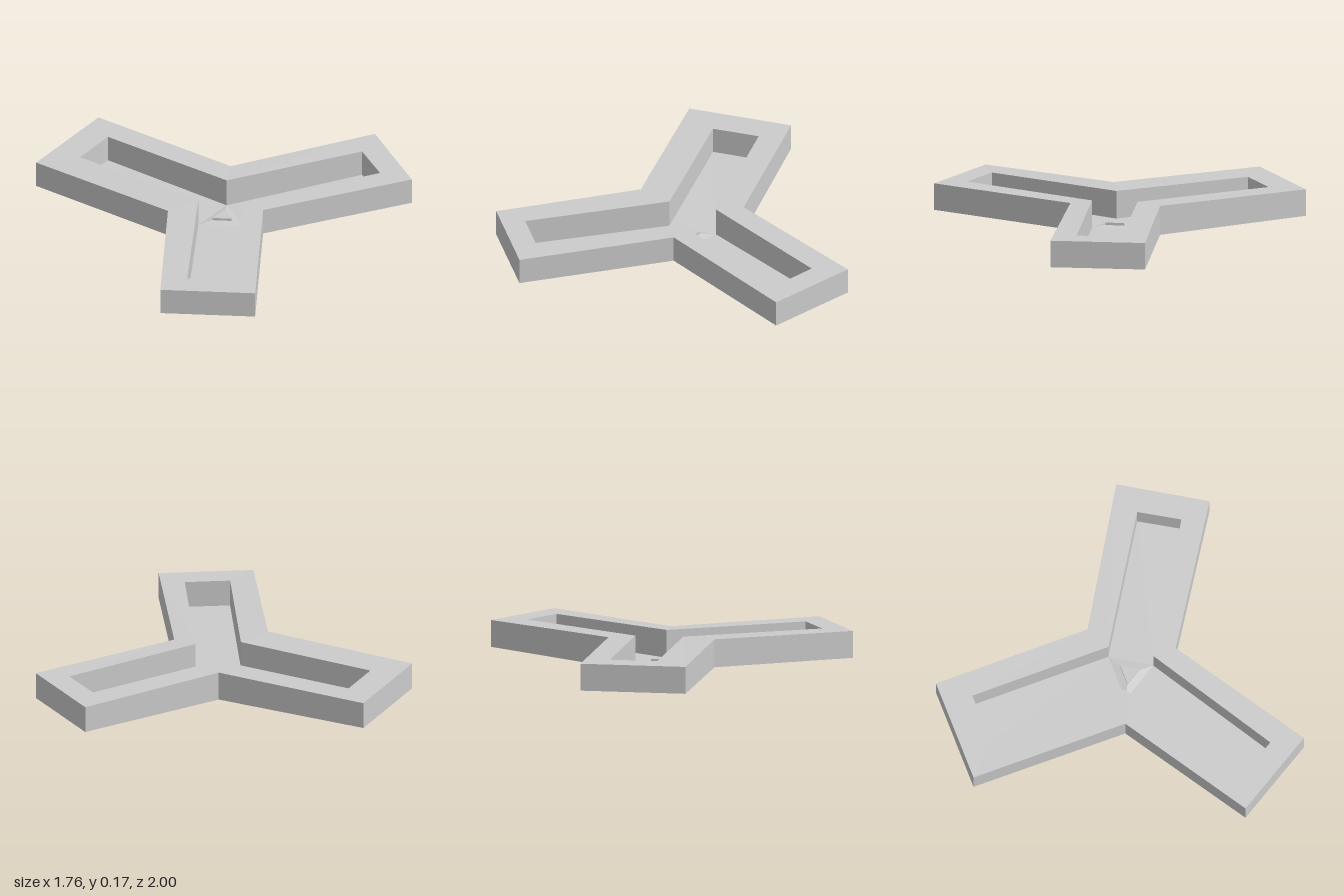
import * as THREE from 'three';

const BASE = 0.013, HEIGHT = 0.148;

// plan outlines as [x, z]
const outer = [[-0.88, -0.265], [0, -0.27], [0.44, -1], [0.88, -0.73], [0.41, 0],
  [0.88, 0.73], [0.44, 1], [0, 0.315], [-0.88, 0.315]];
const inner = [[-0.72, -0.13], [0.07, -0.135], [0.49, -0.81], [0.7, -0.685], [0.28, 0],
  [0.7, 0.69], [0.49, 0.82], [0.07, 0.13], [-0.72, 0.13]];
const peg = [[0.11, -0.055], [0.11, 0.055], [0.2, 0]];

const planPoints = (pts) => pts.map(([x, z]) => new THREE.Vector2(x, -z));
const atHeight = (pts, y) => pts.map(([x, z]) => [x, y, z]);

// slight sag of the underside and lift of the rim near two of the elbows
function warp(geometry) {
  const p = geometry.attributes.position;
  for (let i = 0; i < p.count; i++) {
    const x = p.getX(i), y = p.getY(i), z = p.getZ(i);
    const near = (cz, r) => Math.max(0, 1 - Math.hypot(x, z - cz) / r);
    p.setY(i, y < 0.08 ? y - 0.013 * near(-0.27, 0.5) : y + 0.006 * near(0.315, 0.6));
  }
  geometry.computeVertexNormals();
  return geometry;
}

// band of faces between two triangles, with an optional lid on the upper one
function triangleBand(low, high, lid) {
  const corners = lid ? high.flat() : [];
  for (let i = 0; i < 3; i++) {
    const j = (i + 1) % 3;
    corners.push(...low[i], ...low[j], ...high[j], ...low[i], ...high[j], ...high[i]);
  }
  const band = new THREE.BufferGeometry();
  band.setAttribute('position', new THREE.Float32BufferAttribute(corners, 3));
  return warp(band);
}

export function createModel() {
  const model = new THREE.Group();
  const solid = new THREE.MeshStandardMaterial({ color: 0xcccccc, flatShading: true });
  const sheet = new THREE.MeshStandardMaterial({ color: 0xcccccc, flatShading: true, side: THREE.DoubleSide });
  const add = (name, geometry, material) => {
    const mesh = new THREE.Mesh(geometry, material);
    mesh.name = name;
    model.add(mesh);
  };

  // three-armed rim wall; the opening runs opposite to the outline
  const ring = new THREE.Shape(planPoints(outer));
  ring.holes.push(new THREE.Path(planPoints(inner).reverse()));
  const wall = new THREE.ExtrudeGeometry(ring, { depth: HEIGHT, bevelEnabled: false });
  wall.rotateX(-Math.PI / 2).translate(0, BASE, 0);
  add('rimWall', warp(wall), solid);

  // thin floor of each arm
  const arms = { sideArmFloor: [0, 1, 7, 8], backArmFloor: [1, 2, 3, 4], frontArmFloor: [4, 5, 6, 7] };
  for (const [name, ids] of Object.entries(arms)) {
    const floor = new THREE.ShapeGeometry(new THREE.Shape(planPoints(ids.map((i) => inner[i]))));
    floor.rotateX(-Math.PI / 2).translate(0, BASE, 0);
    add(name, warp(floor), sheet);
  }

  // gentle rise where the arms meet, with a small hollow triangular peg on it
  const junction = [1, 7, 4].map((i) => inner[i]);
  add('junctionRise', triangleBand(atHeight(junction, BASE), atHeight(peg, 0.022), false), sheet);
  add('junctionPeg', triangleBand(atHeight(peg, 0.022), atHeight(peg, 0.036), true), sheet);

  return model;
}
